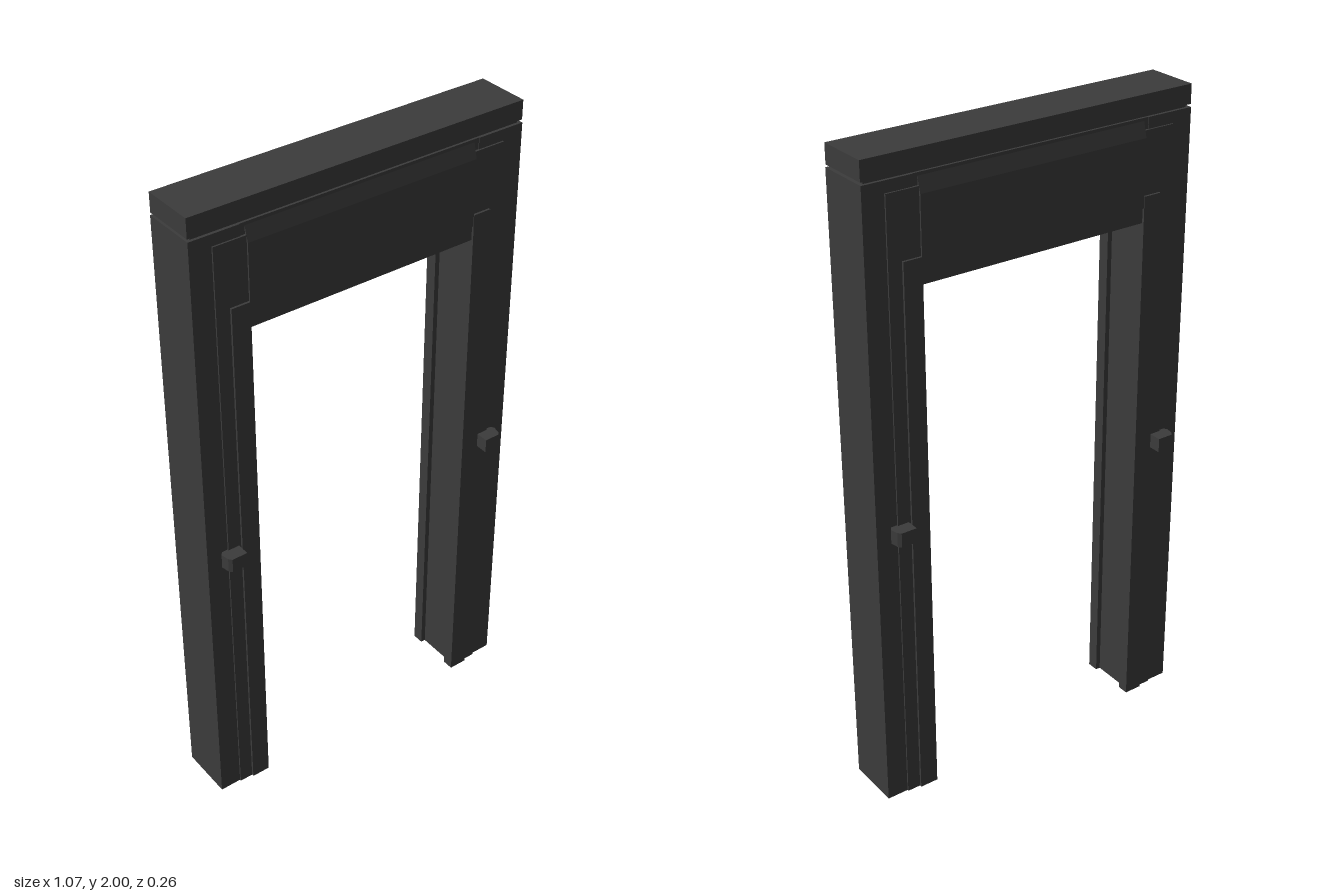
import * as THREE from 'three';

export function createModel() {
  const group = new THREE.Group();
  const charcoal = new THREE.MeshStandardMaterial({ color: 0x3c3c3c, flatShading: true });
  charcoal.name = 'charcoal';

  const add = (name, geometry, x = 0, y = 0, z = 0) => {
    const mesh = new THREE.Mesh(geometry, charcoal);
    mesh.name = name;
    mesh.position.set(x, y, z);
    group.add(mesh);
    return mesh;
  };
  // Box given by its limits on each axis
  const box = (name, x0, x1, y0, y1, z0, z1) =>
    add(name, new THREE.BoxGeometry(x1 - x0, y1 - y0, z1 - z0),
      (x0 + x1) / 2, (y0 + y1) / 2, (z0 + z1) / 2);
  const extrude = (points, depth) => new THREE.ExtrudeGeometry(
    new THREE.Shape(points.map(([x, y]) => new THREE.Vector2(x, y))),
    { depth, bevelEnabled: false });

  // Cap beam with a thin shadow groove beneath it
  box('capBeam', -0.537, 0.537, 1.942, 2, -0.083, 0.083);
  box('capGroove', -0.525, 0.525, 1.932, 1.942, -0.076, 0.076);

  // Header between the posts
  box('header', -0.4, 0.4, 1.64, 1.934, -0.083, 0.083);
  box('headerLip', -0.37, 0.37, 1.63, 1.675, -0.09, 0.09);

  // Raised header panel, sloping back at its top edge
  const panel = extrude([[-0.095, 1.675], [0.095, 1.675], [0.095, 1.88],
    [0.081, 1.932], [-0.081, 1.932], [-0.095, 1.88]], 0.74);
  panel.rotateY(-Math.PI / 2);
  add('headerPanel', panel, 0.37);

  // Knob outline seen from above: a stem with a chamfered outer head
  const knobOutline = [[0.435, 0.08], [0.485, 0.08], [0.497, 0.095],
    [0.492, 0.12], [0.484, 0.13], [0.435, 0.13]];

  for (const side of [-1, 1]) {
    const sided = (name, x0, x1, ...rest) =>
      box(name, Math.min(side * x0, side * x1), Math.max(side * x0, side * x1), ...rest);
    sided('post', 0.385, 0.537, 0, 1.934, -0.085, 0.085);

    for (const face of [-1, 1]) {
      // Jamb strips leave a shallow channel on the inner side of the post
      const z0 = face > 0 ? 0.06 : -0.097;
      sided('jambStrip', 0.37, 0.428, 0, 1.71, z0, z0 + 0.037);
      // Flat casing beside the jamb, carried up to the cap
      const c0 = face > 0 ? 0.08 : -0.09;
      sided('casing', 0.37, 0.47, 1.71, 1.9, c0, c0 + 0.01);
      sided('casing', 0.428, 0.47, 0, 1.71, c0, c0 + 0.01);

      const points = knobOutline.map(([x, z]) => [side * x, -face * z]);
      const knob = extrude(points, 0.045);
      knob.rotateX(-Math.PI / 2);
      add('knob', knob, 0, 0.89, 0);
    }
  }
  return group;
}
